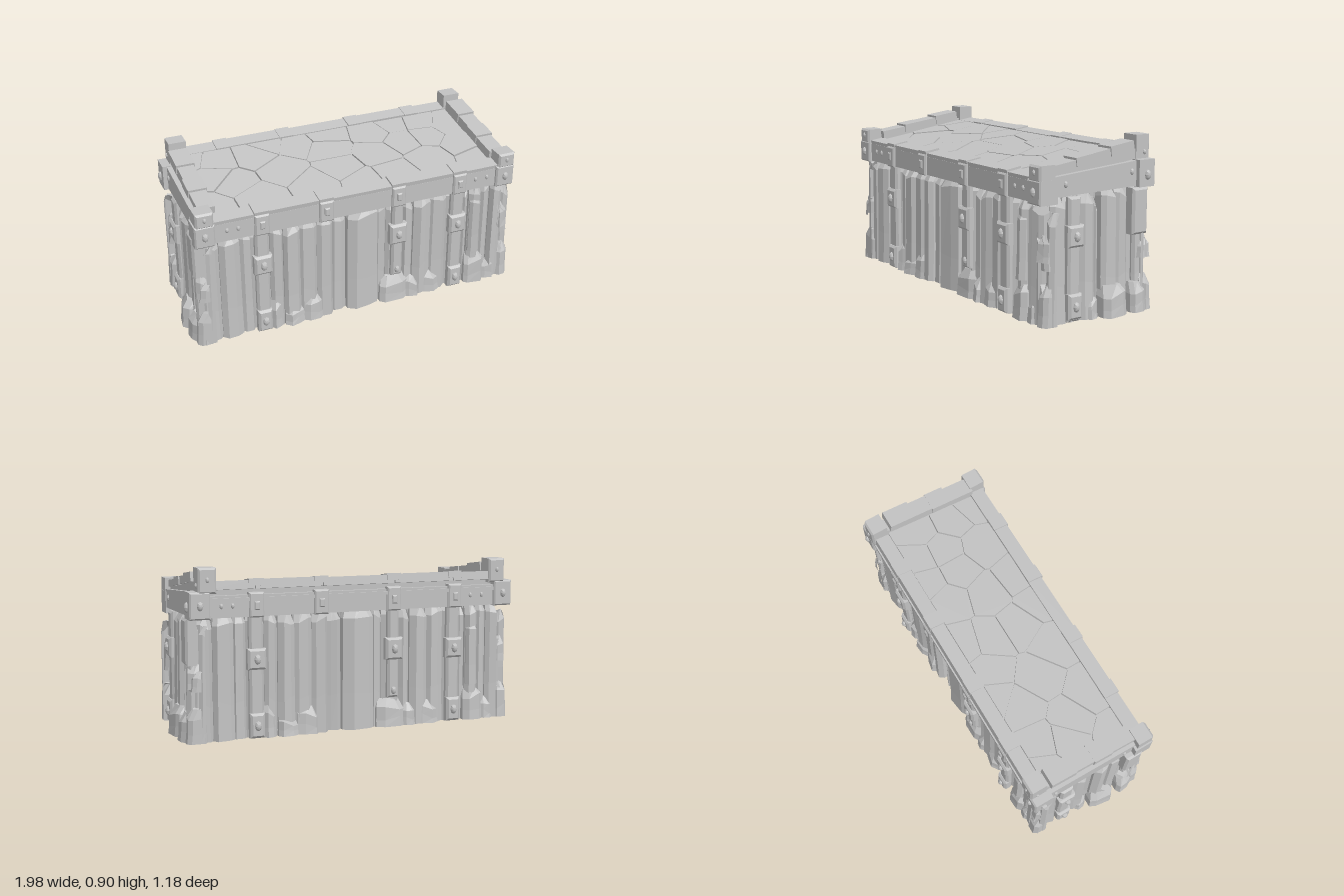
import * as THREE from 'three';
import { ConvexGeometry } from 'three/addons/geometries/ConvexGeometry.js';

const stoneMat = new THREE.MeshStandardMaterial({ color: 0xc2c2c2, flatShading: true, side: THREE.DoubleSide });
stoneMat.name = 'stone grey';

let seed = 7;
const rnd = () => { seed = (seed * 16807) % 2147483647; return seed / 2147483647; };

function add(parent, name, geo, x = 0, y = 0, z = 0) {
  const m = new THREE.Mesh(geo, stoneMat);
  m.name = name;
  m.position.set(x, y, z);
  parent.add(m);
  return m;
}

// Box given by its limits
function block(parent, name, x0, x1, y0, y1, z0, z1) {
  return add(parent, name, new THREE.BoxGeometry(x1 - x0, y1 - y0, z1 - z0),
    (x0 + x1) / 2, (y0 + y1) / 2, (z0 + z1) / 2);
}

// Block whose outer face (+z) is chamfered
function chamfered(parent, name, x0, x1, y0, y1, z0, z1, c = 0.012) {
  const p = [];
  for (const x of [x0, x1]) for (const y of [y0, y1]) {
    const sx = x === x0 ? c : -c, sy = y === y0 ? c : -c;
    p.push(new THREE.Vector3(x, y, z0), new THREE.Vector3(x, y, z1 - c), new THREE.Vector3(x + sx, y + sy, z1));
  }
  return add(parent, name, new ConvexGeometry(p));
}

// Rough hewn stone: a shell of irregular rings, open to the hollow behind and below
function roughStone(parent, name, x0, x1, y0, y1, back, front, foot) {
  const w = x1 - x0, h = y1 - y0, cut = Math.min(0.05, h * 0.35), edge = Math.min(0.022, w * 0.3);
  const a = 0.15 + rnd() * 0.2, b = 0.15 + rnd() * 0.2, tilt = (rnd() - 0.5) * 0.014;
  const rings = [[y0, front + foot, 0, 0], [y0 + h * 0.3, front + foot * 0.3, 0.01, 0.03],
    [y1 - cut, front, 0.02, 0.03], [y1, front - 0.03, 0.14, 0.02]].map(([y, f, s, j]) => {
    const i = w * s, t = (rnd() - 0.5) * j;
    return [[x0 + i, y, back], [x0 + i, y + t, f - edge], [x0 + w * a + i, y + t, f + tilt],
      [x1 - w * b - i, y - t, f - tilt], [x1 - i, y - t, f - edge], [x1 - i, y, back]];
  });
  const p = [];
  for (let r = 0; r < 3; r++) for (let k = 0; k < 5; k++) {
    const lo = rings[r], up = rings[r + 1];
    p.push(...lo[k], ...lo[k + 1], ...up[k + 1], ...lo[k], ...up[k + 1], ...up[k]);
  }
  for (let k = 1; k < 5; k++) p.push(...rings[3][0], ...rings[3][k], ...rings[3][k + 1]);
  const geo = new THREE.BufferGeometry();
  geo.setAttribute('position', new THREE.Float32BufferAttribute(p, 3));
  geo.computeVertexNormals();
  add(parent, name, geo);
}

// Domed bolt facing +z
function bolt(parent, x, y, z, r = 0.02) {
  const g = new THREE.SphereGeometry(r, 8, 4, 0, Math.PI * 2, 0, Math.PI / 2);
  g.rotateX(Math.PI / 2);
  g.scale(0.85, 1.25, 0.8);
  add(parent, 'bolt', g, x, y, z);
}

// Vertical strap with bolted pads
function strap(parent, x, y0, y1, z, pads, w = 0.076) {
  const g = new THREE.Group();
  g.name = 'strap';
  parent.add(g);
  chamfered(g, 'strapBand', x - w / 2, x + w / 2, y0, y1, z - 0.03, z);
  for (const [y, pw, ph] of pads) {
    chamfered(g, 'strapPad', x - pw / 2, x + pw / 2, y - ph / 2, y + ph / 2, z - 0.025, z + 0.016);
    bolt(g, x, y, z + 0.015, 0.022);
  }
}

function wall(name, columns, rocks, back, face, foot, lift) {
  const g = new THREE.Group();
  g.name = name;
  for (const [a, b, h, d] of columns) roughStone(g, 'stoneColumn', a - 0.003, b + 0.003, 0, h + lift, back, face + d, foot);
  for (const [x, y, w, h, d] of rocks) roughStone(g, 'rock', x - w / 2, x + w / 2, y, y + h, back + 0.025, face + d, 0.008);
  return g;
}

// Long wall, facing +z
function longWall(lift) {
  const g = wall('longWall', [
    [-0.92, -0.87, 0.52, -0.02], [-0.87, -0.79, 0.61, 0], [-0.79, -0.68, 0.62, 0.01], [-0.68, -0.61, 0.62, -0.01],
    [-0.61, -0.51, 0.62, -0.01], [-0.51, -0.44, 0.62, 0], [-0.44, -0.35, 0.61, 0.015], [-0.35, -0.25, 0.62, 0.005],
    [-0.25, -0.165, 0.62, 0.01], [-0.165, -0.08, 0.61, -0.015], [-0.075, 0.1, 0.62, 0.015], [0.1, 0.16, 0.62, -0.02],
    [0.16, 0.26, 0.62, -0.01], [0.26, 0.32, 0.6, -0.01], [0.32, 0.42, 0.61, 0.01], [0.42, 0.52, 0.62, 0],
    [0.52, 0.625, 0.62, -0.01], [0.625, 0.66, 0.6, -0.02], [0.66, 0.73, 0.61, 0.01], [0.73, 0.79, 0.62, -0.005],
    [0.79, 0.86, 0.61, 0.01], [0.86, 0.92, 0.56, -0.015],
  ], [
    [-0.87, 0, 0.09, 0.17, 0.02], [-0.88, 0.28, 0.09, 0.13, 0.01], [-0.49, 0, 0.07, 0.17, 0.02],
    [-0.39, 0, 0.11, 0.1, 0.03], [-0.28, 0, 0.12, 0.15, 0.025], [0.2, 0, 0.17, 0.15, 0.025], [0.31, 0, 0.09, 0.12, 0.025],
    [0.42, 0, 0.14, 0.13, 0.02], [0.7, 0, 0.12, 0.18, 0.03], [0.79, 0, 0.09, 0.12, 0.02], [0.88, 0, 0.08, 0.2, 0.02],
    [0.87, 0.32, 0.07, 0.14, 0.01], [0.695, 0.2, 0.07, 0.36, 0.018],
  ], 0.268, 0.315, 0.008, lift);
  strap(g, -0.565, 0, 0.62 + lift, 0.338, [[0.42, 0.1, 0.11], [0.07, 0.08, 0.13]]);
  strap(g, 0.21, 0.16, 0.62 + lift, 0.338, [[0.43, 0.1, 0.12]], 0.065);
  bolt(g, 0.21, 0.2, 0.337, 0.018);
  strap(g, 0.57, 0, 0.62 + lift, 0.338, [[0.415, 0.1, 0.11], [0.07, 0.08, 0.13]]);
  return g;
}

// Short wall, facing +z before being turned to the end
function endWall() {
  const g = wall('endWall', [
    [-0.325, -0.27, 0.48, -0.02], [-0.27, -0.185, 0.63, 0], [-0.185, -0.1, 0.62, -0.005], [-0.1, -0.005, 0.635, 0.01],
    [-0.005, 0.03, 0.6, -0.015], [0.03, 0.12, 0.66, 0.025], [0.12, 0.19, 0.66, 0.015], [0.19, 0.25, 0.64, -0.01],
    [0.25, 0.3, 0.63, 0], [0.3, 0.34, 0.6, -0.02],
  ], [
    [-0.29, 0, 0.08, 0.2, 0.025], [0.09, 0, 0.15, 0.16, 0.07], [0.245, 0, 0.1, 0.15, 0.065], [0.31, 0, 0.07, 0.18, 0.045],
    [0.31, 0.27, 0.08, 0.1, 0.02], [-0.03, 0, 0.08, 0.12, 0.03], [-0.29, 0.28, 0.06, 0.17, 0.015],
  ], 0.838, 0.885, 0.015, 0);
  strap(g, -0.145, 0, 0.63, 0.905, [[0.435, 0.1, 0.11], [0.08, 0.085, 0.13]]);
  chamfered(g, 'endBracket', 0.205, 0.305, 0.4, 0.64, 0.87, 0.93);
  return g;
}

// Flagstone outlines: each cell is the deck clipped halfway to its neighbours
function flagstones(parent, seeds, hx, hz, gap) {
  seeds.forEach((s, i) => {
    let poly = [[-hx, -hz], [hx, -hz], [hx, hz], [-hx, hz]];
    seeds.forEach((o, j) => {
      if (i === j) return;
      const dx = o[0] - s[0], dz = o[1] - s[1], len = Math.hypot(dx, dz);
      const side = p => ((p[0] - s[0]) * dx + (p[1] - s[1]) * dz) / len - len / 2 + gap;
      const out = [];
      poly.forEach((p, k) => {
        const q = poly[(k + 1) % poly.length], a = side(p), b = side(q);
        if (a <= 0) out.push(p);
        if (a * b < 0) out.push([p[0] + (q[0] - p[0]) * a / (a - b), p[1] + (q[1] - p[1]) * a / (a - b)]);
      });
      poly = out;
    });
    if (poly.length < 3) return;
    const geo = new THREE.ExtrudeGeometry(new THREE.Shape(poly.map(p => new THREE.Vector2(p[0], -p[1]))),
      { depth: 0.025 + rnd() * 0.006, bevelEnabled: false });
    geo.rotateX(-Math.PI / 2);
    add(parent, 'flagstone', geo, 0, -0.03, 0);
  });
}

export function createModel() {
  seed = 7;
  const root = new THREE.Group();
  root.name = 'stonePlatform';
  const body = new THREE.Group();
  body.name = 'platformBody';
  body.rotation.y = -0.271;
  root.add(body);

  // Walls: the same long and short wall on opposite sides
  for (const [turn, lift] of [[0, 0], [Math.PI, 0.035]]) {
    const l = longWall(lift), e = endWall();
    l.rotation.y = turn;
    e.rotation.y = turn + Math.PI / 2;
    body.add(l, e);
  }

  // Sloping deck
  const deck = new THREE.Group();
  deck.name = 'deck';
  deck.position.y = 0.78;
  deck.rotation.x = 0.15;
  body.add(deck);
  block(deck, 'deckBase', -0.85, 0.85, -0.032, -0.016, -0.31, 0.31);
  const c = Math.cos(0.271), s = Math.sin(0.271);
  const centres = [[-0.82, 0], [-0.7, -0.42], [-0.58, -0.33], [-0.66, -0.22], [-0.6, -0.12], [-0.56, 0.06], [-0.38, -0.26],
    [-0.25, -0.33], [-0.12, -0.23], [-0.33, -0.07], [-0.25, 0.13], [0.0, -0.1], [0.07, -0.22],
    [-0.05, 0.08], [0.2, 0.09], [-0.02, 0.25], [0.17, 0.28], [0.31, -0.09], [0.46, -0.1], [0.6, -0.03], [0.4, 0.07],
    [0.55, 0.1], [0.73, 0.08], [0.42, 0.28], [0.66, 0.27], [0.66, 0.42]];
  flagstones(deck, centres.map(([x, z]) => [x * c + z * s, z * c - x * s]), 0.785, 0.263, 0.0035);

  // Rail planks along the long edges and stepped slabs along the ends
  const cuts = [-0.83, -0.56, -0.21, 0.2, 0.57, 0.83];
  for (let i = 0; i < 5; i++) {
    const lift = (i % 2) * 0.004;
    block(deck, 'frontRail', cuts[i] + 0.003, cuts[i + 1] - 0.003, -0.03, 0.003 + lift, 0.265, 0.345);
    block(deck, 'backRail', cuts[i] + 0.003, cuts[i + 1] - 0.003, -0.045, lift, -0.345, -0.267);
  }
  const steps = [0.26, 0.11, 0.01, -0.11, -0.25];
  for (const side of [-1, 1]) {
    for (let i = 0; i < 4; i++) {
      const slab = block(deck, 'endRail', -0.045 - (i % 2) * 0.006, 0.045 + (i % 2) * 0.006, 0.008, 0.044 + (i % 2) * 0.006 + i * 0.003, steps[i + 1], steps[i] + 0.01);
      slab.position.x = side * 0.832;
      slab.rotation.x = -0.02;
    }
    block(deck, 'endRailCore', side * 0.83 - 0.038, side * 0.83 + 0.038, -0.04, 0.01, -0.27, 0.27);
  }

  // Long beams with clamps
  const beams = [['front', 0, 0.61, 0.712], ['back', Math.PI, 0.642, 0.755]];
  for (const [name, turn, y0, y1] of beams) {
    const g = new THREE.Group();
    g.name = name + 'Beam';
    g.rotation.y = turn;
    body.add(g);
    block(g, 'beam', -0.86, 0.86, y0, y1, 0.265, 0.34);
    if (turn) {
      block(g, 'beamRecess', -0.85, 0.85, y1, y1 + 0.04, 0.265, 0.315);
      block(g, 'beamLip', -0.85, 0.85, y1 - 0.03, y1 - 0.012, 0.3, 0.35);
    }
    for (const x of [-0.565, -0.21, 0.205, 0.57]) {
      chamfered(g, 'clamp', x - 0.04, x + 0.04, y0 - 0.004, y1 + 0.012, 0.28, 0.355, 0.008);
      chamfered(g, 'clampNut', x - 0.015, x + 0.015, y0 + 0.035, y0 + 0.08, 0.35, 0.363, 0.006);
      const top = block(deck, 'clampTop', x - 0.04, x + 0.04, -0.03, turn ? 0.007 : 0.014, -0.044, 0.044);
      top.position.z = turn ? -0.305 : 0.306;
      if (turn) top.position.x = -x;
    }
    for (const x of [-0.75, -0.69, 0.67, 0.74]) bolt(g, x, y0 + 0.06, 0.339, 0.012);
  }

  // End beams, taller towards the back
  const profile = new THREE.Shape([[-0.27, 0.645], [0.27, 0.635], [0.27, 0.735], [-0.27, 0.775]].map(p => new THREE.Vector2(...p)));
  for (const side of [-1, 1]) {
    const geo = new THREE.ExtrudeGeometry(profile, { depth: 0.08, bevelEnabled: false });
    geo.rotateY(-Math.PI / 2);
    add(body, 'endBeam', geo, side * 0.855 + 0.04, 0, 0);
    const bolts = new THREE.Group();
    bolts.name = 'endBolts';
    bolts.rotation.y = side * Math.PI / 2;
    body.add(bolts);
    for (const [v, y, r, d] of [[0.2, 0.695, 0.014, 0.894], [-0.22, 0.72, 0.014, 0.894], [-0.305, 0.7, 0.022, 0.918], [-0.32, 0.81, 0.011, 0.873]])
      bolt(bolts, -side * v, y, d, r);
  }

  // Corner posts, low in front and high at the back, where the caps are set inwards
  const posts = [['frontPost', 0, -0.87, -0.868, 0.603, 0.725, 0.797], ['frontPost', 0, 0.845, 0.85, 0.603, 0.725, 0.797],
    ['backPost', Math.PI, -0.865, -0.825, 0.638, 0.778, 0.9], ['backPost', Math.PI, 0.865, 0.825, 0.638, 0.778, 0.9]];
  for (const [name, turn, x, capX, y0, y1, y2] of posts) {
    const g = new THREE.Group();
    g.name = name;
    g.rotation.y = turn;
    body.add(g);
    chamfered(g, 'postBlock', x - 0.054, x + 0.054, y0, y1, 0.25, 0.358, 0.008);
    chamfered(g, 'postCap', capX - 0.048, capX + 0.048, y1 - 0.01, y2, 0.265, 0.358, 0.01);
    bolt(g, x, (y0 + y1) / 2, 0.357, 0.02);
    bolt(g, capX, (y1 + y2) / 2, 0.357, 0.012);
  }
  return root;
}
